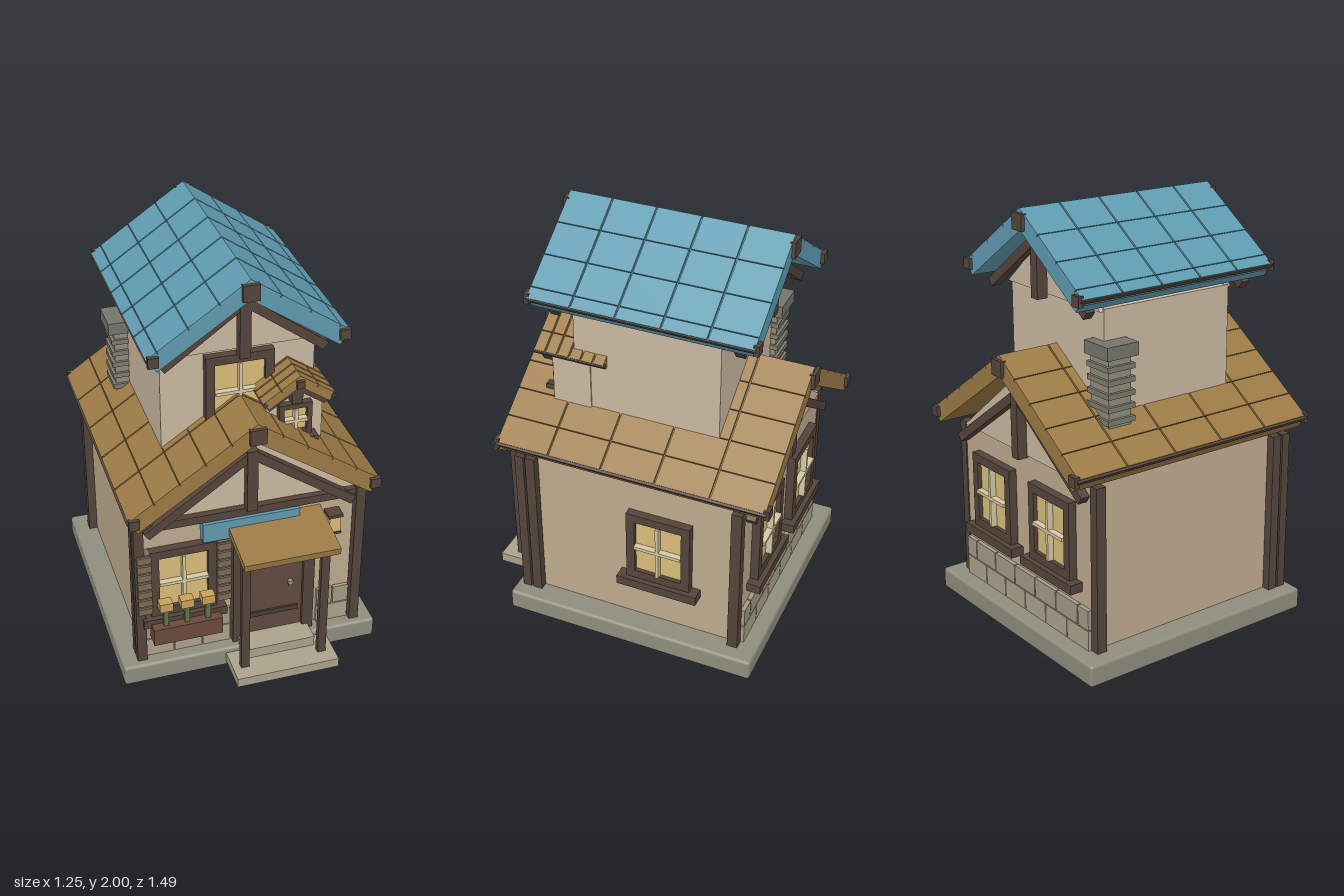
import * as THREE from 'three';
import { RoundedBoxGeometry } from 'three/addons/geometries/RoundedBoxGeometry.js';

const mats = {};
const mat = (c) => (mats[c] ??= new THREE.MeshStandardMaterial({ color: c }));
const WALL = 0xbfab8f, UPPER = 0xcab9a0, TIMBER = 0x54443a, BASE = 0x8f8d7c, STONE = 0xa39a86, STEP = 0xaca28c;
const BLUE = 0x5f9bb0, BROWN = 0x9c7a45, GLASS = 0xd9bd7a, SASH = 0xd6c8a4, DOOR = 0x604a3e, SLAT = 0x7d6c55;
const SLOPE = Math.atan(0.68);

// box given by its limits on each axis
function box(parent, name, c, x0, x1, y0, y1, z0, z1, r = 0) {
  const s = [x1 - x0, y1 - y0, z1 - z0];
  const m = new THREE.Mesh(r ? new RoundedBoxGeometry(...s, 2, r) : new THREE.BoxGeometry(...s), mat(c));
  m.position.set((x0 + x1) / 2, (y0 + y1) / 2, (z0 + z1) / 2);
  m.name = name;
  parent.add(m);
  return m;
}

function group(parent, name, x = 0, y = 0, z = 0, ry = 0) {
  const g = new THREE.Group();
  g.name = name;
  g.position.set(x, y, z);
  g.rotation.y = ry;
  parent.add(g);
  return g;
}

// straight timber between two points of a vertical plane
function beam(parent, name, x0, y0, x1, y1, z, t = 0.042, d = 0.045) {
  const len = Math.hypot(x1 - x0, y1 - y0);
  const m = box(parent, name, TIMBER, -len / 2, len / 2, -t / 2, t / 2, -d / 2, d / 2);
  m.position.set((x0 + x1) / 2, (y0 + y1) / 2, z);
  m.rotation.z = Math.atan2(y1 - y0, x1 - x0);
}

function gablePanel(parent, c, half, y0, y1, z0, z1) {
  const s = new THREE.Shape([[-half, y0], [half, y0], [0, y1]].map((p) => new THREE.Vector2(...p)));
  const m = new THREE.Mesh(new THREE.ExtrudeGeometry(s, { depth: z1 - z0, bevelEnabled: false }), mat(c));
  m.position.z = z0;
  m.name = 'gablePanel';
  parent.add(m);
}

// two tiled slopes with eave trims and end caps
function roof(parent, name, o) {
  const g = group(parent, name, o.x ?? 0);
  const len = o.half / Math.cos(SLOPE), pitch = o.pitch / Math.cos(SLOPE), w = (o.z1 - o.z0) / o.cols, gap = 0.004;
  for (const s of [-1, 1]) {
    const side = group(g, 'roofSlope', 0, o.ridge, 0);
    side.rotation.z = -s * SLOPE;
    const part = (n, c, u0, u1, v0, v1, z0, z1) =>
      box(side, n, c, Math.min(s * u0, s * u1), Math.max(s * u0, s * u1), v0, v1, z0, z1);
    part('roofDeck', o.color, 0, len - 0.004, -o.t, -0.012, o.z0 + 0.004, o.z1 - 0.004);
    for (let u = 0; u < len - 0.01; u += pitch)
      for (let i = 0; i < o.cols; i++)
        part('roofTile', o.color, u + (u ? gap : 0), Math.min(u + pitch, len), -o.t * 0.5, 0,
          o.z0 + i * w + gap, o.z0 + (i + 1) * w - gap);
    part('eaveTrim', TIMBER, len - 0.012, len + 0.006, -0.022, -0.004, o.z0, o.z1);
    if (o.cap)
      for (const z of [o.z0, o.z1])
        box(g, 'eaveCap', TIMBER, s * (o.half - 0.03) - 0.024, s * (o.half - 0.03) + 0.024,
          o.ridge - o.half * 0.68 - 0.035, o.ridge - o.half * 0.68 + 0.015, z - 0.013, z + 0.013);
  }
  const c = o.cap || 0.018;
  for (const z of [o.z0, o.z1]) box(g, 'ridgeCap', TIMBER, -c, c, o.ridge - 0.02 - 2 * c, o.ridge - 0.02, z - 0.013, z + 0.013);
}

// framed window facing local +z, centred on its origin
function windowUnit(parent, name, x, y, z, ry = 0, w = 0.315, h = 0.37, f = 0.042, sill = true) {
  const g = group(parent, name, x, y, z, ry), a = w / 2, b = h / 2;
  box(g, 'glass', GLASS, -a + f, a - f, -b + f, b - f, -0.01, 0.015);
  for (const s of [-1, 1]) {
    box(g, 'frameSide', TIMBER, s * (a - f / 2) - f / 2, s * (a - f / 2) + f / 2, -b, b, -0.01, 0.035);
    box(g, 'frameRail', TIMBER, -a + f, a - f, s * (b - f / 2) - f / 2, s * (b - f / 2) + f / 2, -0.01, 0.035);
  }
  box(g, 'mullion', SASH, -0.008, 0.008, -b + f, b - f, 0, 0.045);
  box(g, 'mullion', SASH, -a + f, a - f, -0.008, 0.008, 0, 0.045);
  if (sill) box(g, 'sill', TIMBER, -a - f, a + f, -b - 0.045, -b, -0.01, 0.06);
}

// braced gable timbers
function gableTimbers(parent, top, half, low, postLow, z) {
  for (const s of [-1, 1]) beam(parent, 'gableBrace', 0, top, s * half, low, z);
  box(parent, 'gablePost', TIMBER, -0.025, 0.025, postLow, top + 0.02, z - 0.027, z + 0.027);
}

// two staggered courses of wall stones
function stones(parent, x0, x1, z0, z1, n) {
  const w = (x1 - x0) / n;
  for (let r = 0; r < 2; r++)
    for (let i = 0; i <= n; i++) {
      const a = Math.max(x0, x0 + (i - r * 0.5) * w), b = Math.min(x1, x0 + (i + 1 - r * 0.5) * w);
      if (b - a > 0.01) box(parent, 'wallStone', r ? STONE : STEP, a + 0.003, b - 0.003, 0.105 + r * 0.1, 0.2 + r * 0.1, z0, z1);
    }
}

export function createModel() {
  const house = new THREE.Group();
  house.name = 'cottage';

  // foundation and steps
  box(house, 'foundation', BASE, -0.625, 0.625, 0, 0.105, -0.7, 0.545, 0.015);
  box(house, 'lowerStep', STEP, -0.13, 0.37, 0.03, 0.078, 0.5, 0.735);
  box(house, 'upperStep', STEP, -0.06, 0.29, 0.078, 0.13, 0.45, 0.61);

  // ground floor
  box(house, 'groundFloor', WALL, -0.51, 0.51, 0.1, 0.89, -0.605, 0.465);
  for (const [z0, z1] of [[0.445, 0.47], [-0.61, -0.585]]) gablePanel(house, UPPER, 0.505, 0.88, 1.275, z0, z1);
  for (const s of [-1, 1])
    for (const [z0, z1] of [[0.41, 0.457], [0.467, 0.51], [-0.61, -0.56]])
      box(house, 'cornerPost', TIMBER, s * 0.528 - 0.023, s * 0.528 + 0.023, 0.1, 0.89, z0, z1);
  box(house, 'frontBeam', TIMBER, -0.51, 0.51, 0.835, 0.875, 0.46, 0.495);
  gableTimbers(house, 1.17, 0.49, 0.825, 0.87, 0.49);
  gableTimbers(house, 1.17, 0.49, 0.825, 0.87, -0.632);
  stones(house, -0.505, -0.09, 0.46, 0.482, 3);
  stones(house, 0.34, 0.505, 0.46, 0.482, 1);
  stones(house, -0.505, 0.505, -0.625, -0.6, 6);
  roof(house, 'lowerRoof', { color: BROWN, ridge: 1.37, half: 0.59, z0: -0.73, z1: 0.58, pitch: 0.117, cols: 5, t: 0.08, cap: 0.038 });

  // upper floor
  box(house, 'upperFloor', UPPER, -0.355, 0.355, 0.9, 1.6, -0.42, 0.28);
  for (const [z0, z1] of [[0.265, 0.295], [-0.44, -0.41]]) gablePanel(house, UPPER, 0.355, 1.59, 1.895, z0, z1);
  gableTimbers(house, 1.86, 0.37, 1.59, 1.59, 0.362);
  gableTimbers(house, 1.86, 0.37, 1.59, 1.59, -0.508);
  roof(house, 'upperRoof', { color: BLUE, ridge: 2, half: 0.455, z0: -0.605, z1: 0.455, pitch: 0.135, cols: 5, t: 0.08, cap: 0.038 });

  // windows
  windowUnit(house, 'frontWindow', -0.32, 0.54, 0.47);
  windowUnit(house, 'sideWindow', 0.515, 0.545, -0.207, Math.PI / 2);
  for (const x of [-0.235, 0.235]) windowUnit(house, 'backWindow', x, 0.595, -0.61, Math.PI);
  windowUnit(house, 'upperWindow', 0, 1.39, 0.285);

  // slatted shutters
  for (const x of [-0.508, -0.132]) {
    box(house, 'shutterPanel', SLAT, x - 0.03, x + 0.03, 0.385, 0.725, 0.465, 0.514);
    for (let i = 0; i < 7; i++)
      box(house, 'shutterSlat', SLAT, x - 0.033, x + 0.033, 0.39 + i * 0.049, 0.425 + i * 0.049, 0.5, 0.524);
  }

  // flower box
  box(house, 'flowerBox', 0x6b4a3c, -0.485, -0.155, 0.24, 0.33, 0.5, 0.575);
  for (const x of [-0.42, -0.32, -0.22]) {
    box(house, 'flowerStem', 0x64724a, x - 0.012, x + 0.012, 0.33, 0.43, 0.533, 0.555);
    box(house, 'flowerHead', 0xc9a25a, x - 0.031, x + 0.031, 0.42, 0.465, 0.517, 0.565);
  }

  // door
  box(house, 'door', DOOR, -0.05, 0.26, 0.12, 0.69, 0.46, 0.49);
  for (const [x0, x1] of [[-0.085, -0.05], [0.26, 0.315]]) box(house, 'doorJamb', TIMBER, x0, x1, 0.105, 0.73, 0.46, 0.51);
  box(house, 'doorLintel', TIMBER, -0.085, 0.315, 0.69, 0.73, 0.46, 0.51);
  for (const y of [0.24, 0.57]) box(house, 'doorStrap', 0x4a3c35, -0.03, 0.24, y - 0.013, y + 0.013, 0.485, 0.5);
  box(house, 'doorHandle', 0xb09462, 0.188, 0.21, 0.39, 0.412, 0.485, 0.51);

  // porch
  for (const x of [-0.072, 0.308]) box(house, 'porchPost', TIMBER, x - 0.02, x + 0.02, 0.075, 0.74, 0.635, 0.665);
  const porch = box(house, 'porchRoof', BROWN, -0.108, 0.345, -0.018, 0.018, -0.148, 0.148);
  porch.position.set(0.118, 0.76, 0.6);
  porch.rotation.x = 0.16;
  box(house, 'overDoorBoard', BLUE, -0.23, 0.23, 0.735, 0.835, 0.465, 0.512);

  // lantern
  box(house, 'lanternBracket', TIMBER, 0.39, 0.41, 0.745, 0.765, 0.46, 0.5);
  box(house, 'lanternGlass', GLASS, 0.373, 0.427, 0.67, 0.755, 0.475, 0.525);
  box(house, 'lanternCap', TIMBER, 0.364, 0.436, 0.755, 0.77, 0.467, 0.533);
  box(house, 'lanternFoot', TIMBER, 0.369, 0.431, 0.66, 0.672, 0.471, 0.529);

  // dormer
  const dormer = group(house, 'dormer', 0.227);
  box(dormer, 'dormerWalls', UPPER, -0.13, 0.135, 1.0, 1.35, 0.2, 0.387);
  gablePanel(dormer, UPPER, 0.13, 1.345, 1.455, 0.36, 0.387);
  windowUnit(dormer, 'dormerWindow', 0, 1.255, 0.385, 0, 0.155, 0.165, 0.024);
  gableTimbers(dormer, 1.44, 0.14, 1.345, 1.35, 0.41);
  roof(house, 'dormerRoof', { x: 0.227, color: BROWN, ridge: 1.505, half: 0.168, z0: 0.115, z1: 0.465, pitch: 0.085, cols: 6, t: 0.045 });

  // chimney with projecting courses
  box(house, 'chimneyStack', BASE, -0.42, -0.29, 0.98, 1.41, -0.445, -0.325);
  for (let i = 0; i < 5; i++)
    box(house, 'chimneyCourse', 0x7d7c6c, -0.435, -0.28, 1.1 + i * 0.06, 1.125 + i * 0.06, -0.458, -0.312);
  box(house, 'chimneyCap', 0x74756a, -0.45, -0.28, 1.4, 1.46, -0.472, -0.305);

  return house;
}
